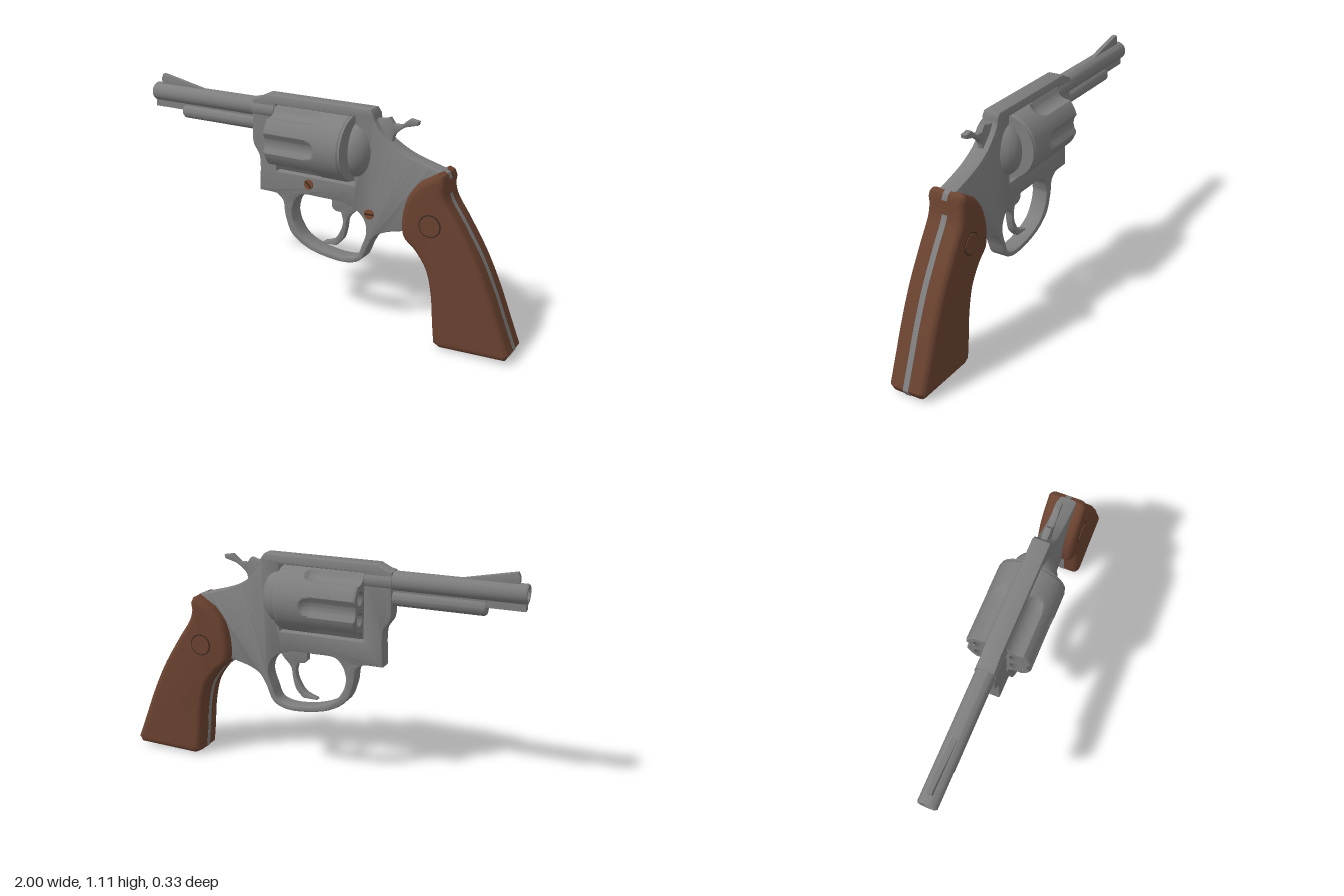
import * as THREE from 'three';
import { toCreasedNormals } from 'three/addons/utils/BufferGeometryUtils.js';

const material = (name, color) => {
  const m = new THREE.MeshStandardMaterial({ color });
  m.name = name;
  return m;
};

// Outline made of [x, y] corners; a nested list of points is a smooth curve.
function trace(path, parts) {
  parts.forEach((p, i) => {
    const curved = Array.isArray(p[0]);
    const first = curved ? p[0] : p;
    if (i === 0) path.moveTo(...first);
    else path.lineTo(...first);
    if (curved) path.splineThru(p.slice(1).map(q => new THREE.Vector2(...q)));
  });
  path.closePath();
  return path;
}

// Plate of a given full thickness, centred on z = 0, with edges rounded inside the outline.
function plate(parts, thickness, bevel = 0, holes = [], bevelSegments = 2) {
  const shape = trace(new THREE.Shape(), parts);
  shape.holes = holes.map(h => trace(new THREE.Path(), h));
  const geo = new THREE.ExtrudeGeometry(shape, {
    depth: thickness - 2 * bevel, curveSegments: 20, bevelEnabled: bevel > 0,
    bevelSize: bevel, bevelThickness: bevel, bevelOffset: -bevel, bevelSegments,
  });
  geo.translate(0, 0, bevel - thickness / 2);
  return toCreasedNormals(geo, 0.6);
}

// Turned part along x: profile of [x, radius], listed from back to muzzle.
function turned(profile, y, segments = 36) {
  const geo = new THREE.LatheGeometry(profile.map(([x, r]) => new THREE.Vector2(r, -x)), segments);
  geo.rotateZ(Math.PI / 2).translate(0, y, 0);
  return toCreasedNormals(geo, 0.6);
}

// Cylinder radius: six scalloped flutes that run out in rounded ends.
const CYL = { front: -0.25, back: 0.165, r: 0.163, y: 0.885 };
function cylinderRadius(angle, x) {
  const step = Math.PI / 3;
  const a = angle - Math.round(angle / step) * step;
  let r = CYL.r;
  if (x < CYL.front + 0.008 || x > CYL.back - 0.012) r -= 0.005;
  const end = Math.min(1, Math.max(0, (0.025 - x) / 0.06));
  const scoop = 0.037 + 0.026 * Math.sqrt(end * (2 - end));
  const d = 0.2, s = scoop * scoop - (d * Math.sin(a)) ** 2;
  return s > 0 ? Math.min(r, d * Math.cos(a) - Math.sqrt(s)) : r;
}

function flutedBody() {
  const length = CYL.back - CYL.front, mid = (CYL.back + CYL.front) / 2;
  const geo = new THREE.CylinderGeometry(1, 1, length, 144, 50, true);
  const pos = geo.attributes.position;
  for (let i = 0; i < pos.count; i++) {
    const a = Math.atan2(pos.getX(i), pos.getZ(i));
    const r = cylinderRadius(a, mid - pos.getY(i));
    pos.setX(i, r * Math.sin(a));
    pos.setZ(i, r * Math.cos(a));
  }
  geo.rotateZ(Math.PI / 2).translate(mid, CYL.y, 0);
  return toCreasedNormals(geo, 0.5);
}

const chamberAngles = Array.from({ length: 6 }, (_, i) => (i + 0.5) * Math.PI / 3);
function chamberFace() {
  const outline = Array.from({ length: 144 }, (_, i) => {
    const a = i / 144 * Math.PI * 2, r = cylinderRadius(a, CYL.front);
    return new THREE.Vector2(r * Math.sin(a), r * Math.cos(a));
  });
  const shape = new THREE.Shape(outline);
  shape.holes = chamberAngles.map(a =>
    new THREE.Path().absarc(0.1 * Math.sin(a), 0.1 * Math.cos(a), 0.033, 0, Math.PI * 2));
  const geo = new THREE.ShapeGeometry(shape, 20);
  return geo.rotateX(-Math.PI / 2).rotateZ(Math.PI / 2).translate(CYL.front, CYL.y, 0);
}

export function createModel() {
  const steel = material('steel', 0x7e7e7e);
  const boreSteel = material('boreSteel', 0x6c6c6c);
  boreSteel.side = THREE.DoubleSide;
  const wood = material('wood', 0x6a4230);
  const copper = material('copper', 0x7a4a30);
  const dark = material('darkRecess', 0x38281f);

  const model = new THREE.Group();
  model.name = 'revolver';
  const action = new THREE.Group();
  action.name = 'action';
  action.rotation.y = -0.018;
  action.position.z = -0.004;
  model.add(action);
  const add = (parent, name, geo, mat, x = 0, y = 0, z = 0) => {
    const mesh = new THREE.Mesh(geo, mat);
    mesh.name = name;
    mesh.position.set(x, y, z);
    parent.add(mesh);
    return mesh;
  };

  // Frame with cylinder window and trigger guard opening
  const frameOutline = [
    [-0.31, 1.09], [-0.36, 1.065], [-0.385, 1.06], [-0.385, 0.97],
    [[-0.388, 0.87], [-0.38, 0.83], [-0.35, 0.78], [-0.345, 0.72]],
    [-0.35, 0.60], [-0.28, 0.60],
    [[-0.25, 0.598], [-0.215, 0.565], [-0.203, 0.49], [-0.165, 0.40], [-0.07, 0.34], [0.06, 0.313],
      [0.16, 0.315], [0.225, 0.35], [0.262, 0.43], [0.30, 0.485], [0.36, 0.515]],
    [0.44, 0.535], [0.50, 0.54], [0.60, 0.62], [0.62, 0.852],
    [[0.60, 0.856], [0.49, 0.887], [0.42, 0.915], [0.36, 0.95]],
    [[0.31, 1.0], [0.285, 1.04], [0.28, 1.065]], [0.262, 1.09],
  ];
  const windowHole = [[-0.25, 0.715], [0.182, 0.715], [0.182, 1.045], [-0.25, 1.045]];
  const guardHole = [[[-0.165, 0.51], [-0.15, 0.455], [-0.10, 0.39], [0, 0.35], [0.12, 0.337],
    [0.195, 0.357], [0.225, 0.42], [0.247, 0.49], [0.235, 0.55], [0.19, 0.595], [0.12, 0.617],
    [0, 0.62], [-0.10, 0.617], [-0.145, 0.58], [-0.163, 0.53]]];
  add(action, 'frame', plate(frameOutline, 0.086, 0.008, [windowHole, guardHole]), steel);

  // Rounded shield behind the cylinder
  const dome = [[0, 0], [1, 0]];
  for (let i = 1; i <= 16; i++) dome.push([Math.cos(i * Math.PI / 32), Math.sin(i * Math.PI / 32)]);
  const domeGeo = new THREE.LatheGeometry(dome.map(p => new THREE.Vector2(...p)), 40);
  domeGeo.rotateZ(-Math.PI / 2).scale(0.092, 0.137, 0.108);
  add(action, 'recoilShield', toCreasedNormals(domeGeo, 0.8), steel, 0.182, CYL.y, 0);

  // Barrel, collar, ejector shroud and front sight
  add(action, 'barrel', turned([[-0.25, 0], [-0.25, 0.046], [-0.994, 0.046], [-1, 0.042],
    [-1, 0.03], [-0.8, 0.03], [-0.8, 0]], 1.015), steel);
  add(action, 'barrelCollar', turned([[-0.257, 0], [-0.257, 0.051], [-0.385, 0.051], [-0.385, 0]], 1.013), steel);
  add(action, 'ejectorShroud', turned([[-0.3, 0], [-0.3, 0.037], [-0.81, 0.037], [-0.82, 0.031],
    [-0.82, 0]], 0.934), steel);
  add(action, 'barrelRib', new THREE.BoxGeometry(0.62, 0.05, 0.04), steel, -0.685, 0.965, 0);
  add(action, 'frontSight', plate([[-0.96, 1.045], [-0.96, 1.09], [-0.95, 1.11], [-0.935, 1.108],
    [-0.70, 1.06], [-0.70, 1.045]], 0.024, 0.003), steel);

  // Fluted cylinder with six open chambers
  const drum = new THREE.Group();
  drum.name = 'cylinder';
  action.add(drum);
  add(drum, 'cylinderBody', flutedBody(), steel);
  add(drum, 'cylinderFace', chamberFace(), steel);
  const back = new THREE.CircleGeometry(CYL.r - 0.005, 72).rotateY(Math.PI / 2);
  add(drum, 'cylinderBack', back, steel, CYL.back, CYL.y, 0);
  for (const a of chamberAngles) {
    const bore = new THREE.CylinderGeometry(0.033, 0.033, 0.4, 20, 1, true).rotateZ(Math.PI / 2);
    add(drum, 'chamber', bore, boreSteel, CYL.front + 0.2, CYL.y + 0.1 * Math.sin(a), 0.1 * Math.cos(a));
  }
  add(drum, 'cylinderPin', turned([[0.185, 0], [0.185, 0.03], [-0.27, 0.03], [-0.27, 0]], CYL.y), steel);

  // Hammer and trigger
  add(action, 'hammer', plate([[0.27, 0.95], [0.285, 1.045], [0.313, 1.048], [0.345, 1.058], [0.366, 1.03],
    [[0.405, 1.03], [0.425, 1.048], [0.446, 1.065]], [0.49, 1.058], [0.485, 1.04],
    [[0.425, 1.024], [0.39, 1.0], [0.368, 0.975], [0.36, 0.93]]], 0.03, 0.004), steel);
  add(action, 'trigger', plate([[0.045, 0.64], [0.047, 0.575], [0.065, 0.558],
    [[0.098, 0.555], [0.108, 0.51], [0.095, 0.46], [0.06, 0.41], [0.0, 0.385]], [-0.004, 0.377],
    [[0.07, 0.378], [0.108, 0.42], [0.125, 0.475], [0.135, 0.53], [0.17, 0.57]], [0.2, 0.61], [0.2, 0.64]],
  0.036, 0.005), steel);

  // Slotted screws on one side of the frame
  for (const [x, y, turn] of [[-0.065, 0.677, -0.8], [0.265, 0.587, 0]]) {
    const head = new THREE.CylinderGeometry(0.025, 0.025, 0.008, 24).rotateX(Math.PI / 2);
    add(action, 'screw', head, copper, x, y, 0.044);
    const slot = add(action, 'screwSlot', new THREE.BoxGeometry(0.044, 0.008, 0.003), dark, x, y, 0.048);
    slot.rotation.z = turn;
  }

  // Grip around a steel strap
  const gripOutline = [
    [0.615, 0.853], [0.64, 0.842], [0.652, 0.815],
    [[0.647, 0.78], [0.665, 0.72], [0.73, 0.62], [0.82, 0.47], [0.89, 0.32], [0.945, 0.18], [0.996, 0.05]],
    [0.978, 0.018], [0.66, 0.006], [0.625, 0.025],
    [[0.615, 0.12], [0.603, 0.26], [0.575, 0.38], [0.52, 0.465], [0.456, 0.53], [0.45, 0.63],
      [0.478, 0.73], [0.53, 0.80]],
  ];
  add(model, 'grip', plate(gripOutline, 0.19, 0.032, [], 5), wood, 0, 0, 0.003);
  const strap = plate(gripOutline, 0.028);
  strap.translate(-0.72, -0.43, 0).scale(1.008, 1.006, 1).translate(0.72, 0.43, 0);
  add(model, 'gripStrap', strap, steel, 0, 0, 0.003);

  // Round grip inlays on both sides
  for (const side of [1, -1]) {
    const ring = new THREE.CylinderGeometry(0.054, 0.054, 0.004, 36).rotateX(Math.PI / 2);
    add(model, 'inlayRim', ring, dark, 0.595, 0.608, 0.003 + side * 0.0945);
    const disc = new THREE.CylinderGeometry(0.048, 0.048, 0.008, 36).rotateX(Math.PI / 2);
    add(model, 'gripInlay', disc, wood, 0.595, 0.608, 0.003 + side * 0.0955);
  }
  return model;
}
